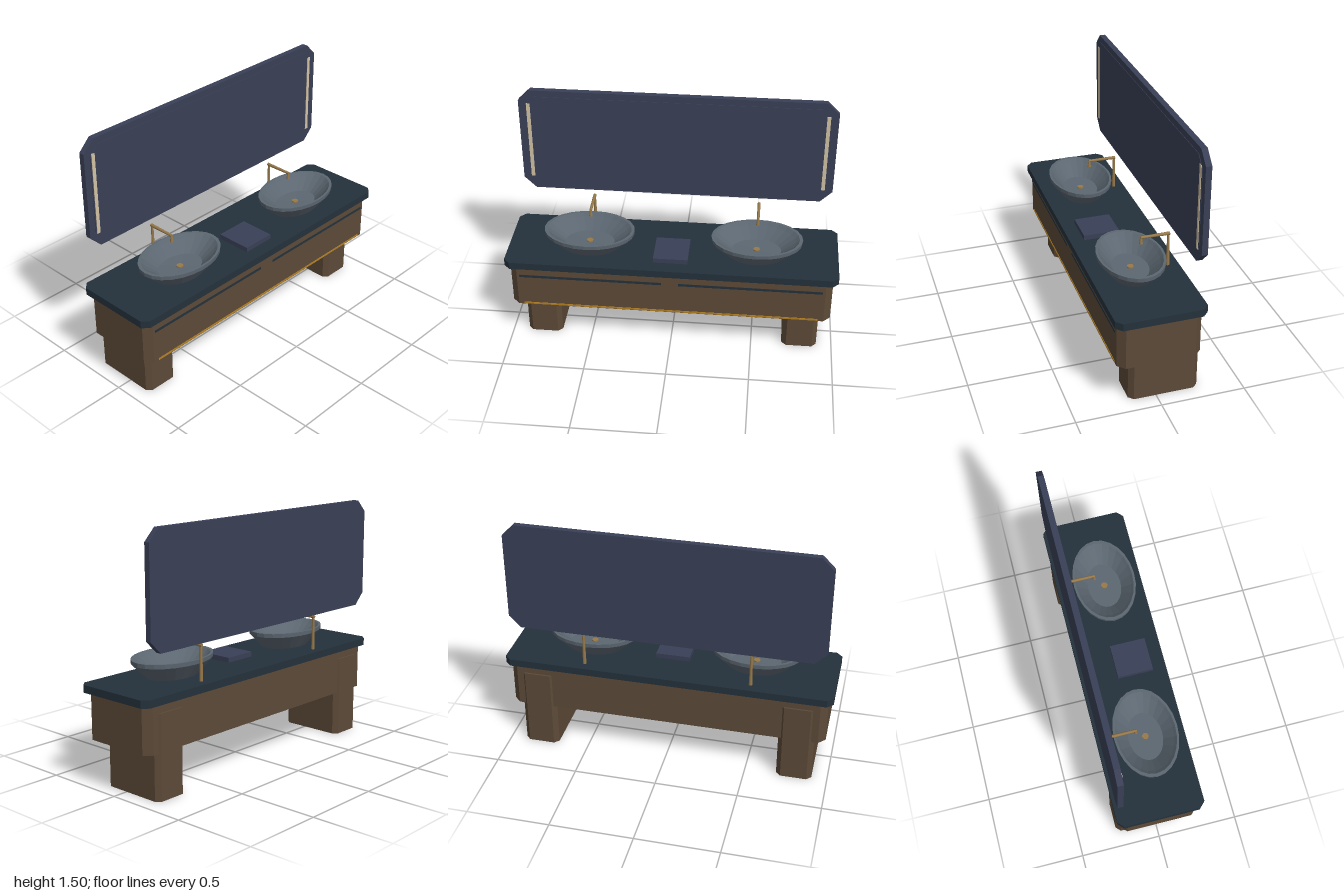
import * as THREE from 'three';

const paint = (name, color) => {
  const m = new THREE.MeshStandardMaterial({ color });
  m.name = name;
  return m;
};

export function createModel() {
  const root = new THREE.Group();
  root.name = 'doubleVanity';

  const wood = paint('walnut', 0x5c4a38);
  const stone = paint('darkStone', 0x24313b);
  const navy = paint('navyGlass', 0x393f56);
  const ceramic = paint('greyCeramic', 0x5c6771);
  ceramic.flatShading = true;
  const brass = paint('brass', 0x97794a);
  const amber = paint('amberStrip', 0xb47f22);
  const cream = paint('creamLight', 0xd2c2a4);

  const add = (parent, name, geometry, material, x = 0, y = 0, z = 0) => {
    const mesh = new THREE.Mesh(geometry, material);
    mesh.name = name;
    mesh.position.set(x, y, z);
    parent.add(mesh);
    return mesh;
  };

  // Rectangle with cut corners, extruded along z from 0 to depth
  const cutPanel = (w, h, depth, cut) => {
    const a = w / 2, b = h / 2;
    const outline = [
      [a - cut, -b], [a, -b + cut], [a, b - cut], [a - cut, b],
      [-a + cut, b], [-a, b - cut], [-a, -b + cut], [-a + cut, -b],
    ].map(([x, y]) => new THREE.Vector2(x, y));
    return new THREE.ExtrudeGeometry(new THREE.Shape(outline), { depth, bevelEnabled: false });
  };
  // The same, standing upright: base at y = 0
  const cutBlock = (w, d, h, cut) => cutPanel(w, d, h, cut).rotateX(-Math.PI / 2);

  // Cabinet and worktop
  add(root, 'cabinet', cutBlock(1.94, 0.49, 0.275, 0.042), wood, 0, 0.275, 0);
  add(root, 'worktop', cutBlock(2, 0.53, 0.045, 0.036), stone, 0, 0.55, 0);
  add(root, 'amberStrip', new THREE.BoxGeometry(1.79, 0.012, 0.006), amber, 0, 0.285, 0.245);
  add(root, 'tray', new THREE.BoxGeometry(0.208, 0.03, 0.22), navy, -0.002, 0.61, 0.07);

  // Mirror with a thin raised pane
  add(root, 'mirrorFrame', cutPanel(1.89, 0.67, 0.035, 0.072), navy, 0, 1.165, -0.257);
  add(root, 'mirrorPane', cutPanel(1.81, 0.59, 0.003, 0.06), navy, 0, 1.165, -0.222);

  // Basin section: outside wall, rim, inside wall, floor
  const basinProfile = [
    [0, 0], [0.64, 0], [0.99, 0.09], [1, 0.115], [0.93, 0.115],
    [0.85, 0.095], [0.54, 0.028], [0, 0.025],
  ].map(([r, y]) => new THREE.Vector2(r, y));
  const basinGeometry = new THREE.LatheGeometry(basinProfile, 24).scale(0.275, 1, 0.192);

  for (const side of [-1, 1]) {
    const label = side > 0 ? 'left' : 'right';

    add(root, `${label}Leg`, cutBlock(0.215, 0.415, 0.5, 0.028), wood, side * 0.798, 0, -0.0475);
    add(root, `${label}DrawerGroove`, new THREE.BoxGeometry(0.86, 0.016, 0.006), stone, side * 0.482, 0.487, 0.244);
    add(root, `${label}MirrorLight`, new THREE.BoxGeometry(0.022, 0.5, 0.005), cream, side * 0.886, 1.165, -0.2185);

    // Basin and drain
    const basin = new THREE.Group();
    basin.name = `${label}Basin`;
    basin.position.set(side * 0.507, 0.595, 0.026);
    root.add(basin);
    add(basin, 'bowl', basinGeometry, ceramic);
    add(basin, 'drain', new THREE.CylinderGeometry(0.02, 0.02, 0.008, 12), brass, 0, 0.029, 0);

    // Faucet: tapered post, spout and flared nozzle
    const faucet = new THREE.Group();
    faucet.name = `${label}Faucet`;
    faucet.position.set(side * 0.507, 0.595, -0.2);
    root.add(faucet);
    add(faucet, 'post', new THREE.CylinderGeometry(0.007, 0.011, 0.21, 10), brass, 0, 0.105, 0);
    const spout = add(faucet, 'spout', new THREE.CylinderGeometry(0.008, 0.01, 0.175, 10), brass, 0, 0.207, 0.08);
    spout.rotation.x = Math.PI / 2;
    add(faucet, 'nozzle', new THREE.CylinderGeometry(0.006, 0.011, 0.04, 10), brass, 0, 0.187, 0.164);
  }

  return root;
}
